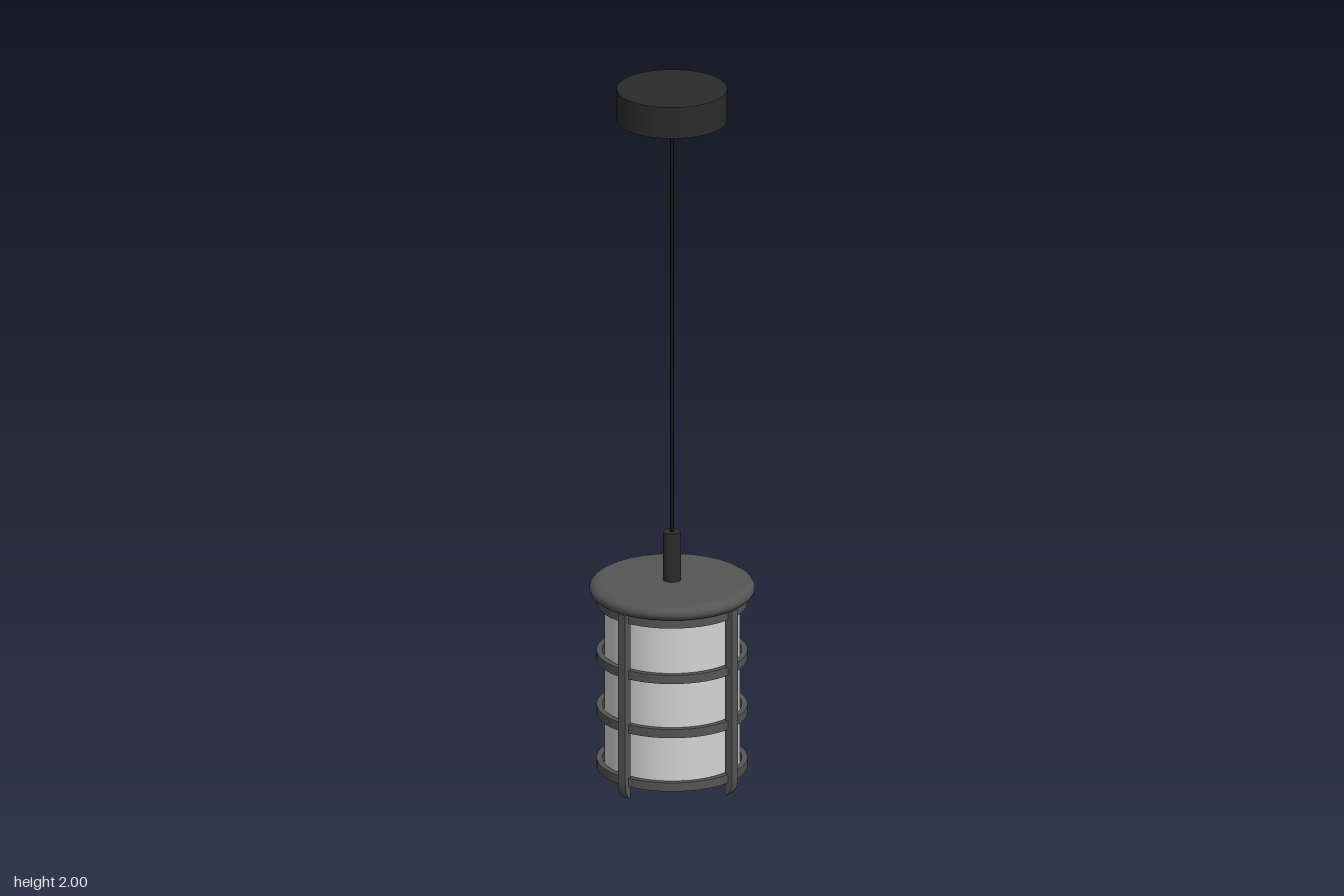
import * as THREE from 'three';

const mat = (name, color, side = THREE.FrontSide) => {
  const m = new THREE.MeshStandardMaterial({ color, side });
  m.name = name;
  return m;
};

export function createModel() {
  const black = mat('matte black', 0x2b2b2b);
  const cordBlack = mat('cord black', 0x161616);
  const iron = mat('dark grey iron', 0x555555);
  const glass = mat('frosted glass', 0xd4d4d4, THREE.DoubleSide);

  const model = new THREE.Group();
  model.name = 'pendantLamp';

  const add = (name, geometry, material, y = 0) => {
    const mesh = new THREE.Mesh(geometry, material);
    mesh.name = name;
    mesh.position.y = y;
    model.add(mesh);
    return mesh;
  };
  // upright cylinder between two heights
  const rod = (name, r, y0, y1, material, sides, open = false) =>
    add(name, new THREE.CylinderGeometry(r, r, y1 - y0, sides, 1, open), material, (y0 + y1) / 2);

  // ceiling mount, strain relief, cord and lamp holder
  rod('ceilingCanopy', 0.151, 1.91, 2, black, 48);
  rod('cordGrip', 0.012, 1.86, 1.91, black, 16);
  rod('cord', 0.005, 0.7, 1.87, cordBlack, 10);
  rod('lampHolder', 0.025, 0.565, 0.715, black, 24);

  // lid with a rounded rim
  const lidProfile = [[0, 0.532], [0.205, 0.532], [0.205, 0.532], [0.216, 0.535], [0.224, 0.543], [0.227, 0.551],
    [0.225, 0.56], [0.219, 0.568], [0.208, 0.574], [0.195, 0.575], [0, 0.576]]
    .map(([r, y]) => new THREE.Vector2(r, y));
  add('lid', new THREE.LatheGeometry(lidProfile, 30), iron).rotation.y = Math.PI / 2;

  // open glass shade
  rod('shade', 0.185, 0.04, 0.535, glass, 48, true);

  // flat cage hoops
  const hoop = new THREE.Shape().absarc(0, 0, 0.206, 0, Math.PI * 2);
  hoop.holes.push(new THREE.Path().absarc(0, 0, 0.19, 0, Math.PI * 2, true));
  const hoopGeometry = new THREE.ExtrudeGeometry(hoop, { depth: 0.025, bevelEnabled: false, curveSegments: 24 });
  hoopGeometry.rotateX(-Math.PI / 2);
  for (const y of [0.035, 0.19, 0.347, 0.508]) add('cageHoop', hoopGeometry, iron, y);

  // four uprights whose outer foot curves inwards
  const bar = new THREE.Shape();
  bar.moveTo(0.196, 0.535);
  bar.lineTo(0.196, 0.003);
  bar.lineTo(0.202, 0);
  bar.quadraticCurveTo(0.219, 0.012, 0.22, 0.045);
  bar.lineTo(0.22, 0.535);
  const barGeometry = new THREE.ExtrudeGeometry(bar, { depth: 0.026, bevelEnabled: false, curveSegments: 6 });
  barGeometry.translate(0, 0, -0.013);
  for (let i = 0; i < 4; i++) add('cageUpright', barGeometry, iron).rotation.y = i * Math.PI / 2;

  return model;
}
